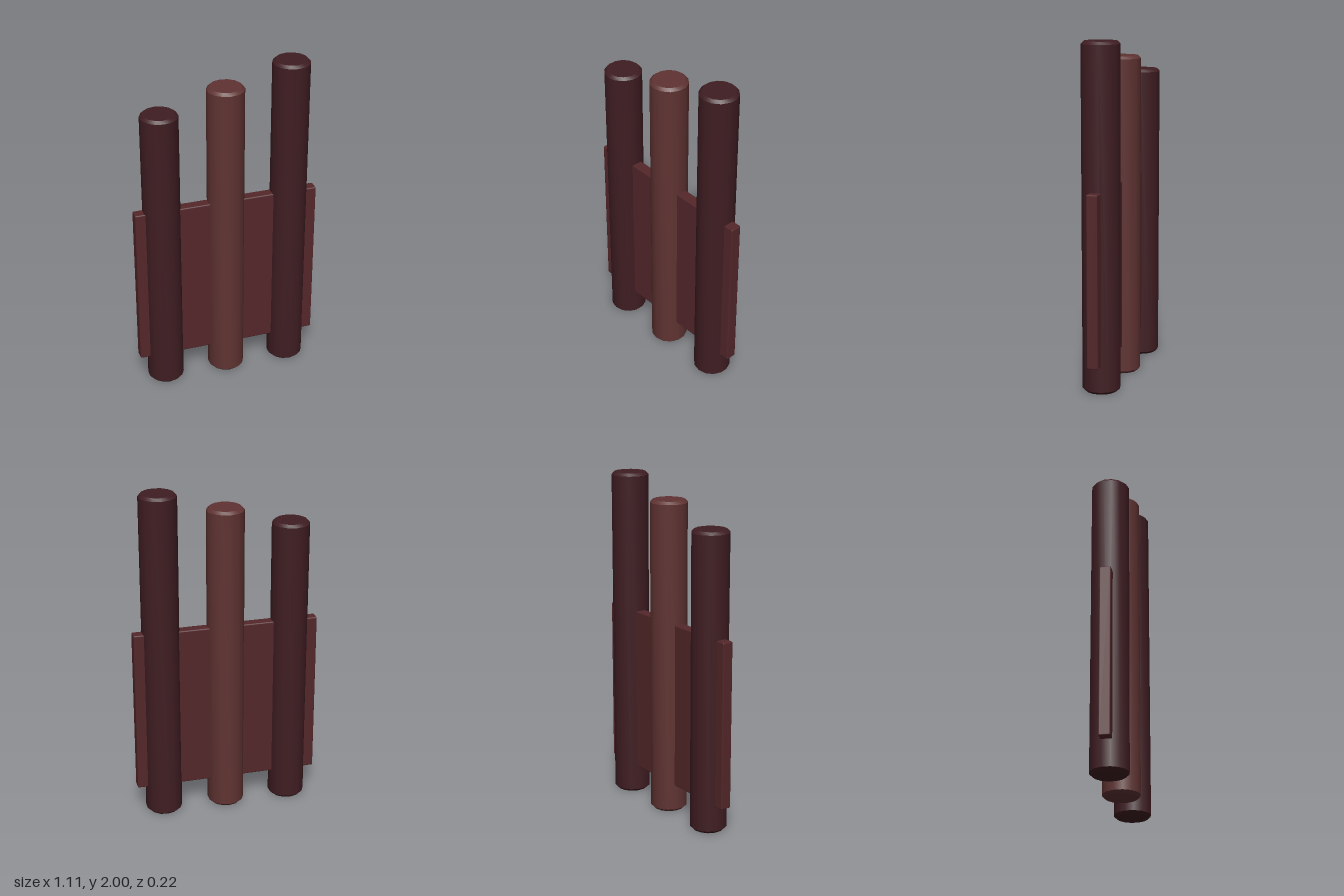
import * as THREE from 'three';
import { toCreasedNormals } from 'three/addons/utils/BufferGeometryUtils.js';
import { RoundedBoxGeometry } from 'three/addons/geometries/RoundedBoxGeometry.js';

const RADIUS = 0.11, BEVEL = 0.016, SIDES = 14;

// Upright post with chamfered ends, standing on y = 0
function makePost(name, x, height, color) {
  const profile = [
    [0, 0], [RADIUS - BEVEL, 0], [RADIUS, BEVEL],
    [RADIUS, height - BEVEL], [RADIUS - BEVEL, height], [0, height],
  ].map(([r, y]) => new THREE.Vector2(r, y));
  const geometry = toCreasedNormals(new THREE.LatheGeometry(profile, SIDES), Math.PI / 6);
  const post = new THREE.Mesh(geometry, new THREE.MeshStandardMaterial({ color }));
  post.name = name;
  post.position.x = x;
  return post;
}

export function createModel() {
  const group = new THREE.Group();
  group.name = 'postsWithPanel';

  // Three posts rising in steps from right to left
  group.add(
    makePost('rightPost', -0.389, 1.78, 0x3f1d22),
    makePost('middlePost', 0, 1.89, 0x5f3332),
    makePost('leftPost', 0.389, 2, 0x3f1d22),
  );

  // Thin panel running through all the posts
  const panel = new THREE.Mesh(
    new RoundedBoxGeometry(1.108, 1, 0.066, 1, 0.007),
    new THREE.MeshStandardMaterial({ color: 0x54272a }),
  );
  panel.name = 'panel';
  panel.position.y = 0.67;
  group.add(panel);

  return group;
}
